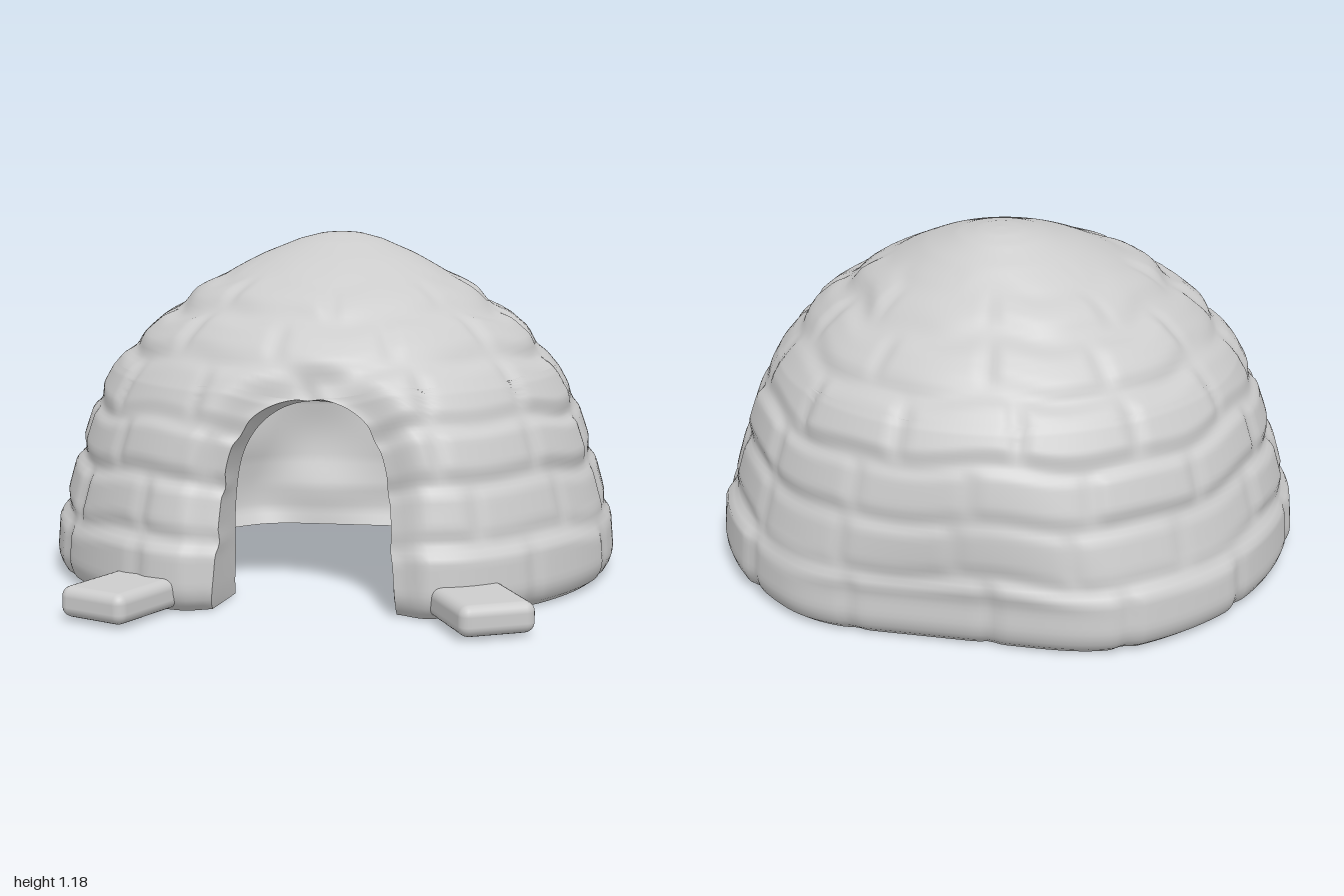
import * as THREE from 'three';
import { mergeVertices } from 'three/addons/utils/BufferGeometryUtils.js';
import { RoundedBoxGeometry } from 'three/addons/geometries/RoundedBoxGeometry.js';

const { lerp, smoothstep, clamp } = THREE.MathUtils;
const TAU = Math.PI * 2;
const COLS = 240, DOOR_ROWS = 56, ROWS = 104;

// Radius by height, and the arch opening, of each side of the wall
const OUTER = {
  profile: [[0.93, 0], [0.965, 0.025], [0.98, 0.07], [0.97, 0.2], [0.94, 0.27], [0.89, 0.45], [0.84, 0.6], [0.785, 0.7],
    [0.695, 0.81], [0.59, 0.9], [0.47, 0.99], [0.375, 1.05], [0.27, 1.105], [0.15, 1.153], [0.07, 1.173], [0, 1.178]],
  archTop: 0.72, archHalf: 0.285, flare: 0.03, relief: true,
};
const INNER = {
  profile: [[0.66, 0], [0.68, 0.06], [0.68, 0.25], [0.65, 0.48], [0.56, 0.66], [0.42, 0.82], [0.28, 0.91], [0.14, 0.96], [0, 0.98]],
  archTop: 0.66, archHalf: 0.26, flare: 0.01, relief: false,
};

// Courses of snow blocks: lower edge height and number of blocks
const COURSES = [[-0.1, 13], [0.23, 15], [0.42, 14], [0.6, 13], [0.79, 11], [0.93, 8], [1.05, 5], [1.4, 1]];

const hash = (n) => {
  const s = Math.sin(n * 127.1 + 11.7) * 43758.5453;
  return s - Math.floor(s);
};

// Minimum of two values with a rounded changeover
function softMin(a, b) {
  const h = Math.max(0.08 - Math.abs(a - b), 0);
  return Math.min(a, b) - h * h / 0.32;
}

function radiusAt(profile, y) {
  for (let i = 1; i < profile.length; i++) {
    const [r0, y0] = profile[i - 1], [r1, y1] = profile[i];
    if (y <= y1) return lerp(r0, r1, (y - y0) / (y1 - y0));
  }
  return 0;
}

// Bulge of the block at this angle and height, sinking to zero in the joints
function blockRelief(theta, y, r) {
  const yy = y + 0.012 * Math.sin(theta * 5 + 1) + 0.008 * Math.sin(theta * 11);
  let k = 0;
  while (k < COURSES.length - 2 && yy > COURSES[k + 1][0]) k++;
  const n = COURSES[k][1];
  const a = (theta / TAU) * n + hash(k + 5);
  const id = Math.floor(a) % n, f = a - Math.floor(a);
  const joint = Math.min(f, 1 - f) * (TAU * r / n);
  const bed = Math.min(yy - COURSES[k][0], COURSES[k + 1][0] - yy);
  const edge = smoothstep(bed, 0, 0.05) * lerp(0.35, 1, smoothstep(joint, 0, 0.05));
  return (0.01 + 0.015 * hash(k * 37 + id)) * edge * (1 - smoothstep(y, 0.9, 1.12));
}

// Sinking of the outer wall towards the rim of the doorway, giving a rounded lip
function doorLip(x, y) {
  const field = Math.hypot(x / OUTER.archHalf, (y / OUTER.archTop) ** 3);
  return 0.06 * (1 - smoothstep((field - 1) * OUTER.archHalf, 0, 0.11));
}

// Point on one side of the wall: u runs round from jamb to jamb, row runs up
function wallPoint(side, u, row) {
  const { profile, archTop, archHalf, flare } = side;
  const top = profile[profile.length - 1][1];
  let y, open = 0;
  if (row < DOOR_ROWS) {
    const t = Math.sin((row / DOOR_ROWS) * Math.PI / 2);
    y = archTop * t;
    open = archHalf * Math.sqrt(1 - t ** 6) + flare * (1 - t) ** 2;
  } else {
    y = lerp(archTop, top, Math.sin(((row - DOOR_ROWS) / (ROWS - DOOR_ROWS)) * Math.PI / 2));
  }
  const r = row === ROWS ? 0 : radiusAt(profile, y);
  const start = open > 0 ? Math.asin(open / r) : 0;
  const theta = lerp(start, TAU - start, u);
  const cos = Math.cos(theta);
  // The crown leans towards the back
  const centre = -0.12 - 0.12 * clamp((y / top - 0.8) / 0.2, 0, 1) ** 2;

  let d = side.relief ? blockRelief(theta, y, r) : 0.012 * Math.sin(theta * 7) * Math.sin(y * 14);
  if (side.relief && cos > 0) d -= doorLip(Math.sin(theta) * r, y);
  const len = Math.hypot(r, y * 0.9) || 1;
  const yOut = y + d * (y * 0.9) / len;
  const rOut = row === ROWS ? 0 : r + d * r / len;

  // Flatten the wall a little at the front and the back
  const front = lerp(0.89, 1.08, smoothstep(y, 0.35, 0.85));
  const back = lerp(0.88, 1.05, clamp((y - 0.15) / 0.5, 0, 1));
  const depth = cos > 0 ? softMin(cos, front) : -softMin(-cos, back);
  return new THREE.Vector3(Math.sin(theta) * rOut, yOut, depth * rOut + centre);
}

// Smooth surface from a grid of points
function gridGeometry(point, nu, nv, flip) {
  const pos = [], index = [];
  for (let j = 0; j <= nv; j++) {
    for (let i = 0; i <= nu; i++) pos.push(...point(i, j).toArray());
  }
  for (let j = 0; j < nv; j++) {
    for (let i = 0; i < nu; i++) {
      const a = j * (nu + 1) + i, b = a + 1, c = a + nu + 1, d = c + 1;
      if (flip) index.push(a, c, b, b, c, d);
      else index.push(a, b, c, b, d, c);
    }
  }
  const g = new THREE.BufferGeometry();
  g.setAttribute('position', new THREE.Float32BufferAttribute(pos, 3));
  g.setIndex(index);
  const merged = mergeVertices(g, 1e-5);
  merged.computeVertexNormals();
  return merged;
}

export function createModel() {
  const model = new THREE.Group();
  model.name = 'igloo';
  const snow = new THREE.MeshStandardMaterial({ color: 0xcccccc });
  snow.name = 'snow';
  const add = (name, geometry) => {
    const mesh = new THREE.Mesh(geometry, snow);
    mesh.name = name;
    model.add(mesh);
    return mesh;
  };
  const through = (u, row, s) => wallPoint(OUTER, u, row).lerp(wallPoint(INNER, u, row), s);

  // Dome wall, outside and inside
  add('outerDome', gridGeometry((i, j) => wallPoint(OUTER, i / COLS, j), COLS, ROWS, false));
  add('innerDome', gridGeometry((i, j) => wallPoint(INNER, i / COLS, j), COLS, ROWS, true));

  // Underside of the wall
  add('wallBase', gridGeometry((i, j) => through(i / COLS, 0, j / 2), COLS, 2, true));

  // Doorway lining, one half on each side
  add('leftDoorJamb', gridGeometry((i, j) => through(0, j, i / 4), 4, DOOR_ROWS, true));
  add('rightDoorJamb', gridGeometry((i, j) => through(1, j, i / 4), 4, DOOR_ROWS, false));

  // Flat blocks lying beside the entrance
  for (const s of [1, -1]) {
    const slab = add(s > 0 ? 'leftSlab' : 'rightSlab', new RoundedBoxGeometry(0.255, 0.102, 0.44, 3, 0.035));
    slab.position.set(s * 0.56, 0.062, 0.75);
    slab.rotation.y = s * 0.44;
  }
  return model;
}
